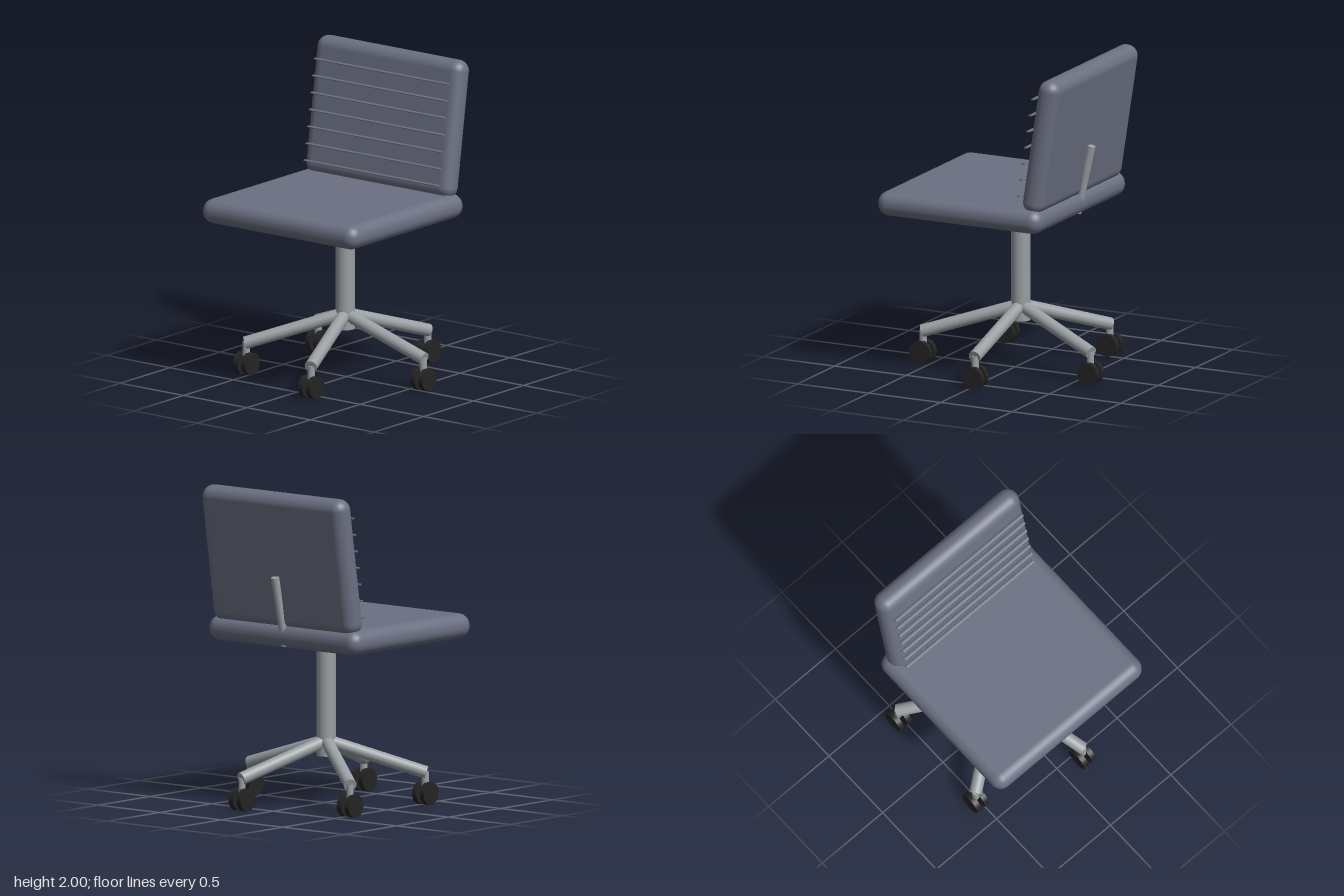
import * as THREE from 'three';
import { RoundedBoxGeometry } from 'three/addons/geometries/RoundedBoxGeometry.js';

export function createModel() {
  const fabric = new THREE.MeshStandardMaterial({ name: 'slate fabric', color: 0x6b7082 });
  const metal = new THREE.MeshStandardMaterial({ name: 'grey metal', color: 0x999fa2 });
  const rubber = new THREE.MeshStandardMaterial({ name: 'black rubber', color: 0x242424 });

  const model = new THREE.Group();
  model.name = 'officeChair';
  const CX = -0.03, CZ = -0.025; // column axis

  const add = (parent, name, geometry, material, x, y, z) => {
    const mesh = new THREE.Mesh(geometry, material);
    mesh.name = name;
    mesh.position.set(x, y, z);
    parent.add(mesh);
    return mesh;
  };

  // Straight round rod between two points
  const rod = (parent, name, a, b, radius, material) => {
    const from = new THREE.Vector3(...a), to = new THREE.Vector3(...b);
    const dir = to.clone().sub(from);
    const mid = from.clone().add(to).multiplyScalar(0.5);
    const mesh = add(parent, name, new THREE.CylinderGeometry(radius, radius, dir.length(), 28), material, mid.x, mid.y, mid.z);
    mesh.quaternion.setFromUnitVectors(new THREE.Vector3(0, 1, 0), dir.normalize());
    return mesh;
  };

  // Cushions
  add(model, 'seat', new RoundedBoxGeometry(1.22, 0.155, 1.145, 6, 0.074), fabric, -0.025, 1.0925, 0.1075);
  const back = add(model, 'backrest', new RoundedBoxGeometry(1.15, 0.87, 0.145, 6, 0.07), fabric, -0.025, 1.57, -0.443);
  back.rotation.x = -THREE.MathUtils.degToRad(8.8);

  // Horizontal ribs just ahead of the backrest
  const ribGeometry = new THREE.CylinderGeometry(1, 1, 1.055, 12).rotateZ(Math.PI / 2).scale(1, 0.006, 0.013);
  for (let i = 0; i < 7; i++) {
    add(model, 'backRib', ribGeometry, fabric, -0.025, 1.24 + i * 0.105, -0.284 - i * 0.0167);
  }

  // Backrest support and central column
  rod(model, 'backSupport', [CX, 1.03, -0.418], [CX, 1.468, -0.518], 0.026, metal);
  rod(model, 'column', [CX, 0.3, CZ], [CX, 1.05, CZ], 0.06, metal);

  // Five sloping legs, each with a stem and twin wheels
  const wheelGeometry = new THREE.CylinderGeometry(0.071, 0.071, 0.035, 36).rotateZ(Math.PI / 2);
  for (let i = 0; i < 5; i++) {
    const angle = (i * Math.PI * 2) / 5;
    const at = (r, y) => [CX + r * Math.cos(angle), y, CZ + r * Math.sin(angle)];
    rod(model, 'leg', at(0, 0.395), at(0.622, 0.2), 0.04, metal);

    const [x, , z] = at(0.615, 0);
    const caster = new THREE.Group();
    caster.name = 'caster';
    caster.position.set(x, 0, z);
    model.add(caster);
    rod(caster, 'casterStem', [0, 0.12, 0], [0, 0.205, 0], 0.023, metal);
    for (const side of [-1, 1]) add(caster, 'wheel', wheelGeometry, rubber, side * 0.0315, 0.071, 0);
  }

  return model;
}
